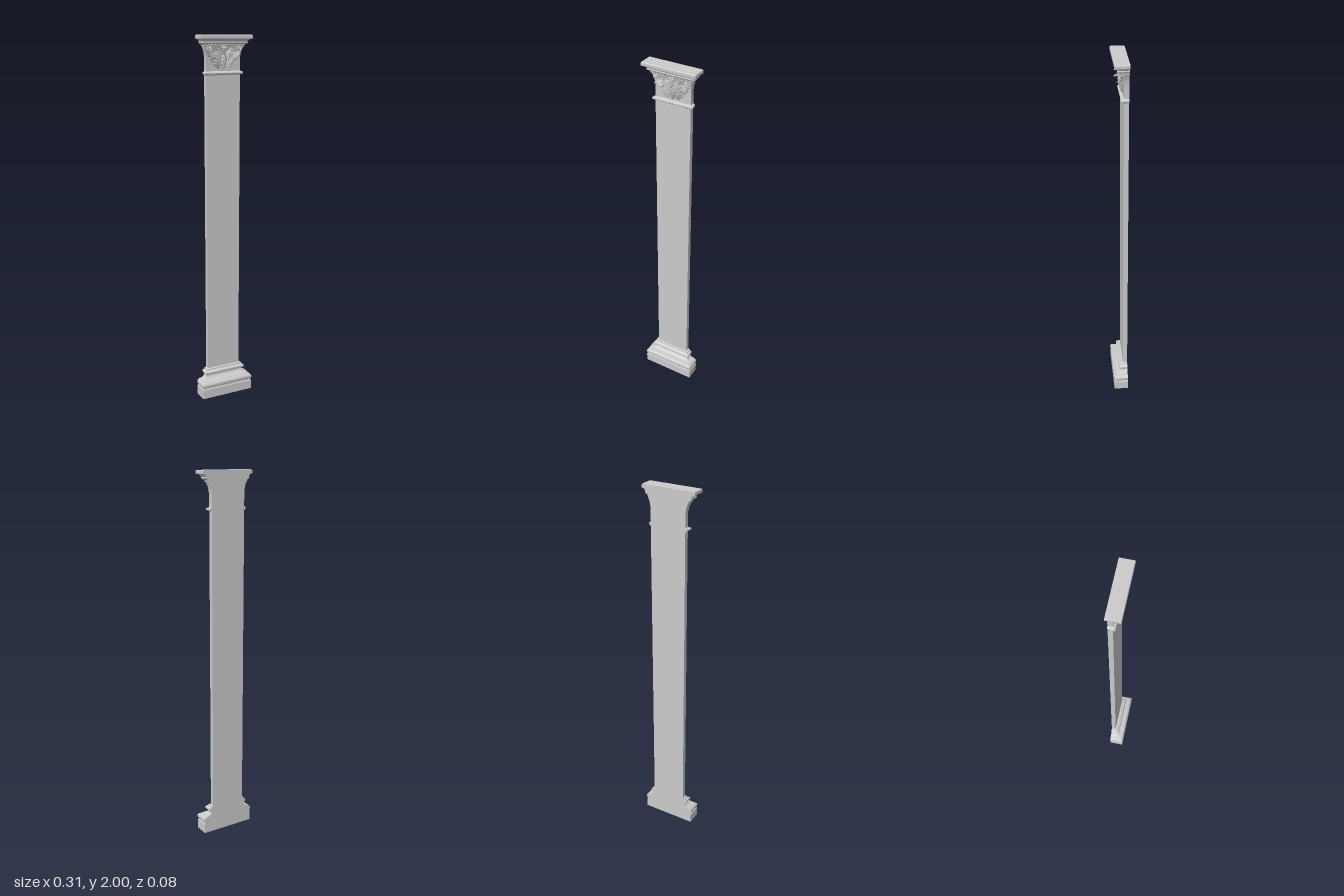
import * as THREE from 'three';
import { toCreasedNormals } from 'three/addons/utils/BufferGeometryUtils.js';

const HALF = 0.098, FRONT = -0.015, BACK = -0.04;   // shaft half width, front and wall planes
const stone = new THREE.MeshStandardMaterial({ color: 0xcccccc });
const leafStone = new THREE.MeshStandardMaterial({ color: 0xcccccc, side: THREE.DoubleSide });

function add(parent, name, geometry, x = 0, y = 0, z = 0, material = stone) {
  const mesh = new THREE.Mesh(geometry, material);
  mesh.name = name;
  mesh.position.set(x, y, z);
  parent.add(mesh);
  return mesh;
}

// Moulding mitred round the front and both sides, flat at the wall; profile is [offset, y] upwards
function moulding(profile) {
  const pos = [], index = [];
  for (const [o, y] of profile) {
    const x = HALF + o, z = FRONT + o;
    pos.push(-x, y, BACK, -x, y, z, x, y, z, x, y, BACK);
  }
  for (let i = 0; i < profile.length - 1; i++) {
    for (let k = 0; k < 4; k++) {
      const a = i * 4 + k, b = i * 4 + (k + 1) % 4;
      index.push(a, b, b + 4, a, b + 4, a + 4);
    }
  }
  const t = (profile.length - 1) * 4;
  index.push(0, 2, 1, 0, 3, 2, t, t + 1, t + 2, t, t + 2, t + 3);
  const g = new THREE.BufferGeometry();
  g.setAttribute('position', new THREE.Float32BufferAttribute(pos, 3));
  g.setIndex(index);
  return toCreasedNormals(g, 0.6);
}

// Elliptical arc of profile points between two angles in degrees
function arc(o, y, ro, ry, from, to, n = 8) {
  return Array.from({ length: n + 1 }, (_, i) => {
    const a = THREE.MathUtils.degToRad(from + (to - from) * i / n);
    return [o + ro * Math.cos(a), y + ry * Math.sin(a)];
  });
}

// Lobed leaf growing up from its origin, ribbed, its tip rolling forward
function leafGeometry(length, width, depth, lobes = 4) {
  const g = new THREE.PlaneGeometry(2, 1, 16, 36);
  const p = g.attributes.position;
  for (let i = 0; i < p.count; i++) {
    const u = p.getX(i), v = p.getY(i) + 0.5;
    const scallop = 0.68 + 0.32 * Math.abs(Math.sin(Math.PI * lobes * v));
    const half = width / 2 * Math.sin(Math.PI * (0.15 + 0.82 * v)) * scallop;
    const curl = Math.max(0, (v - 0.72) / 0.28);
    const rib = 0.0035 * Math.cos(u * Math.PI * 4) * (1 - 0.5 * v);
    p.setXYZ(i,
      u * half,
      length * (Math.min(v, 0.72) + 0.2 * Math.sin(curl * 2.4)) + Math.abs(u) * half * 0.35,
      depth * (0.45 * Math.sin(Math.min(v, 0.72) * 2.1) + 0.35 * (1 - Math.cos(curl * 2.4)))
        + rib - u * u * depth * 0.35 + 0.003);
  }
  g.computeVertexNormals();
  return g;
}

// Stalk sweeping outwards and ending in a spiral
function scrollGeometry(side) {
  const pts = [[0.022, 1.85], [0.04, 1.885], [0.058, 1.92]]
    .map(([x, y]) => new THREE.Vector3(side * x, y, FRONT + 0.006));
  for (let i = 0; i <= 18; i++) {
    const a = 2.3 - i * 0.55, r = 0.019 * (1 - i / 22);
    pts.push(new THREE.Vector3(side * (0.083 + r * Math.cos(a)), 1.932 + r * Math.sin(a), FRONT + 0.012 + i * 0.0006));
  }
  return new THREE.TubeGeometry(new THREE.CatmullRomCurve3(pts), 70, 0.004, 7);
}

export function createModel() {
  const model = new THREE.Group();
  model.name = 'pilaster';

  // Base: plinth, large roll, hollow and upper roll
  add(model, 'base', moulding([
    [0.055, 0], [0.055, 0.052], [0.051, 0.054], [0.051, 0.058],
    ...arc(0.041, 0.075, 0.016, 0.018, -70, 80),
    ...arc(0.043, 0.119, 0.031, 0.024, 270, 180),
    [0.012, 0.122], [0.017, 0.124],
    ...arc(0.013, 0.135, 0.011, 0.011, -70, 75),
    [0.011, 0.148], [0.011, 0.154], [0, 0.157],
  ]));

  add(model, 'shaft', moulding([[0, 0.15], [0, 1.81]]));

  // Capital: neck ring, bell, stepped cornice and top slab
  const capital = new THREE.Group();
  capital.name = 'capital';
  model.add(capital);
  add(capital, 'neckRing', moulding([[0, 1.797], [0.005, 1.8], ...arc(0.004, 1.808, 0.006, 0.007, -80, 80), [0, 1.818]]));
  add(capital, 'bell', moulding([
    [0, 1.815], [0, 1.89], [0.003, 1.91], [0.008, 1.928], [0.013, 1.94], [0.017, 1.942],
    [0.017, 1.95], [0.022, 1.953], ...arc(0.022, 1.962, 0.008, 0.008, -80, 40),
    [0.031, 1.969], [0.034, 1.974], [0.04, 1.979], [0.045, 1.981],
  ]));
  add(capital, 'topSlab', moulding([[0.044, 1.979], [0.049, 1.982], [0.049, 1.996], [0.046, 2]]));

  // Beads on the neck ring
  const bead = new THREE.SphereGeometry(0.0068, 10, 8);
  for (let i = 0; i < 19; i++) {
    add(capital, 'bead', bead, (i / 18 * 2 - 1) * (HALF + 0.007), 1.808, FRONT + 0.008);
  }
  for (const s of [-1, 1]) {
    add(capital, 'sideBead', bead, s * (HALF + 0.007), 1.808, FRONT - 0.006);
  }

  // Egg row below the cornice
  const egg = new THREE.SphereGeometry(0.0075, 10, 8).scale(0.9, 1.2, 1);
  for (let i = 0; i < 13; i++) {
    add(capital, 'egg', egg, (i - 6) * 0.0178, 1.952, FRONT + 0.018);
  }

  // Fan of leaves, the lower ones in front: [x, y, length, width, tilt, depth]
  const leaves = [
    [0.02, 1.845, 0.105, 0.056, 0.75, 0.02],
    [0.012, 1.84, 0.105, 0.056, 0.32, 0.026],
    [0.03, 1.862, 0.075, 0.044, 0.95, 0.028],
    [0.026, 1.828, 0.07, 0.044, 0.4, 0.03],
  ];
  for (const s of [-1, 1]) {
    for (const [x, y, length, width, tilt, depth] of leaves) {
      const leaf = add(capital, 'sideLeaf', leafGeometry(length, width, depth), s * x, y, FRONT, leafStone);
      leaf.rotation.z = -s * tilt;
    }
    add(capital, 'scroll', scrollGeometry(s));
    add(capital, 'scrollEye', new THREE.SphereGeometry(0.006, 10, 8), s * 0.083, 1.932, FRONT + 0.02);
  }
  add(capital, 'centreLeaf', leafGeometry(0.085, 0.05, 0.036, 5), 0, 1.824, FRONT, leafStone);

  // Flower at the top centre
  const petal = new THREE.SphereGeometry(0.007, 10, 8).scale(1, 1, 0.7);
  for (let i = 0; i < 6; i++) {
    const a = i * Math.PI / 3;
    add(capital, 'petal', petal, 0.01 * Math.cos(a), 1.935 + 0.01 * Math.sin(a), FRONT + 0.017);
  }
  add(capital, 'flowerCentre', new THREE.SphereGeometry(0.006, 10, 8), 0, 1.935, FRONT + 0.021);

  return model;
}
